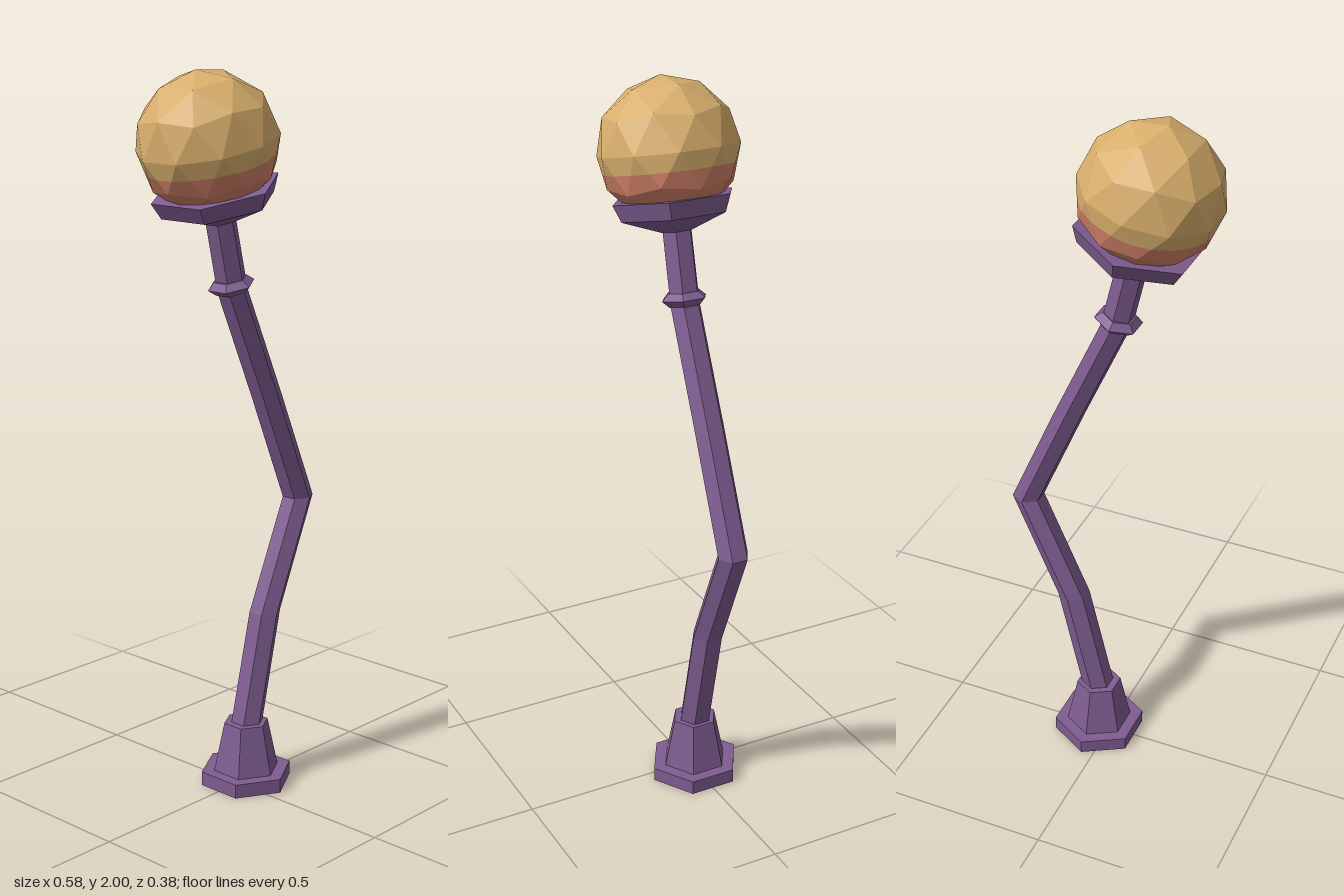
import * as THREE from 'three';

const flat = (name, color) => {
  const m = new THREE.MeshStandardMaterial({ flatShading: true });
  m.name = name;
  m.color.setHex(color);
  return m;
};

// Keeps the part of a triangle soup above (sign 1) or below (sign -1) a level
function clipAtLevel(geometry, level, sign) {
  const p = geometry.attributes.position, out = [];
  for (let i = 0; i < p.count; i += 3) {
    const tri = [0, 1, 2].map(k => new THREE.Vector3().fromBufferAttribute(p, i + k));
    const poly = [];
    tri.forEach((a, k) => {
      const b = tri[(k + 1) % 3];
      const da = sign * (a.y - level), db = sign * (b.y - level);
      if (da >= 0) poly.push(a);
      if (da * db < 0) poly.push(a.clone().lerp(b, da / (da - db)));
    });
    for (let k = 1; k + 1 < poly.length; k++) {
      for (const v of [poly[0], poly[k], poly[k + 1]]) out.push(v.x, v.y, v.z);
    }
  }
  const g = new THREE.BufferGeometry();
  g.setAttribute('position', new THREE.Float32BufferAttribute(out, 3));
  g.computeVertexNormals();
  return g;
}

export function createModel() {
  const purple = flat('purple metal', 0x7e5c90);
  const gold = flat('golden glass', 0xd8ae6c);
  const pink = flat('pink glass', 0xd08068);
  const model = new THREE.Group();
  const tilt = 0.232;

  const add = (name, geometry, material, x, y, lean = 0) => {
    const mesh = new THREE.Mesh(geometry, material);
    mesh.name = name;
    mesh.position.set(x, y, 0);
    mesh.rotation.z = lean;
    model.add(mesh);
    return mesh;
  };
  const hexLathe = pts =>
    new THREE.LatheGeometry(pts.map(([r, y]) => new THREE.Vector2(r, y)), 6);

  // Hexagonal foot and tapered socket
  add('footPlate', new THREE.CylinderGeometry(0.131, 0.131, 0.04, 6), purple, 0.035, 0.02);
  add('socket', new THREE.CylinderGeometry(0.064, 0.094, 0.14, 6), purple, 0.035, 0.11);

  // Crooked pole: a hexagonal tube whose level rings follow a bent path
  const path = [[0.035, 0.16], [0.113, 0.49], [0.25, 0.8], [0.118, 1.11], [-0.02, 1.42], [-0.068, 1.625]];
  const pole = new THREE.CylinderGeometry(0.042, 0.046, 5, 6, 5);
  const pos = pole.attributes.position;
  for (let i = 0; i < pos.count; i++) {
    const [x, y] = path[Math.round(pos.getY(i) + 2.5)];
    pos.setX(i, pos.getX(i) + x);
    pos.setY(i, y);
  }
  pole.computeVertexNormals();
  add('pole', pole, purple, 0, 0);

  // Collar ring below the lamp head
  add('collar', hexLathe([[0.03, -0.018], [0.046, -0.018], [0.065, 0], [0.046, 0.018], [0.03, 0.018]]),
    purple, -0.025, 1.435, tilt);

  // Leaning cup that holds the globe
  add('cup', hexLathe([[0, 0], [0.045, 0], [0.155, 0.042], [0.175, 0.088], [0, 0.088]]),
    purple, -0.065, 1.609, tilt);

  // Faceted globe with a pole vertex along the lamp axis, pink towards the cup
  const globe = new THREE.IcosahedronGeometry(0.19, 1);
  globe.rotateZ(-Math.atan(2 / (1 + Math.sqrt(5))));
  add('globe', clipAtLevel(globe, -0.047, 1), gold, -0.112, 1.814, tilt);
  add('globeBase', clipAtLevel(globe, -0.047, -1), pink, -0.112, 1.814, tilt);

  return model;
}
